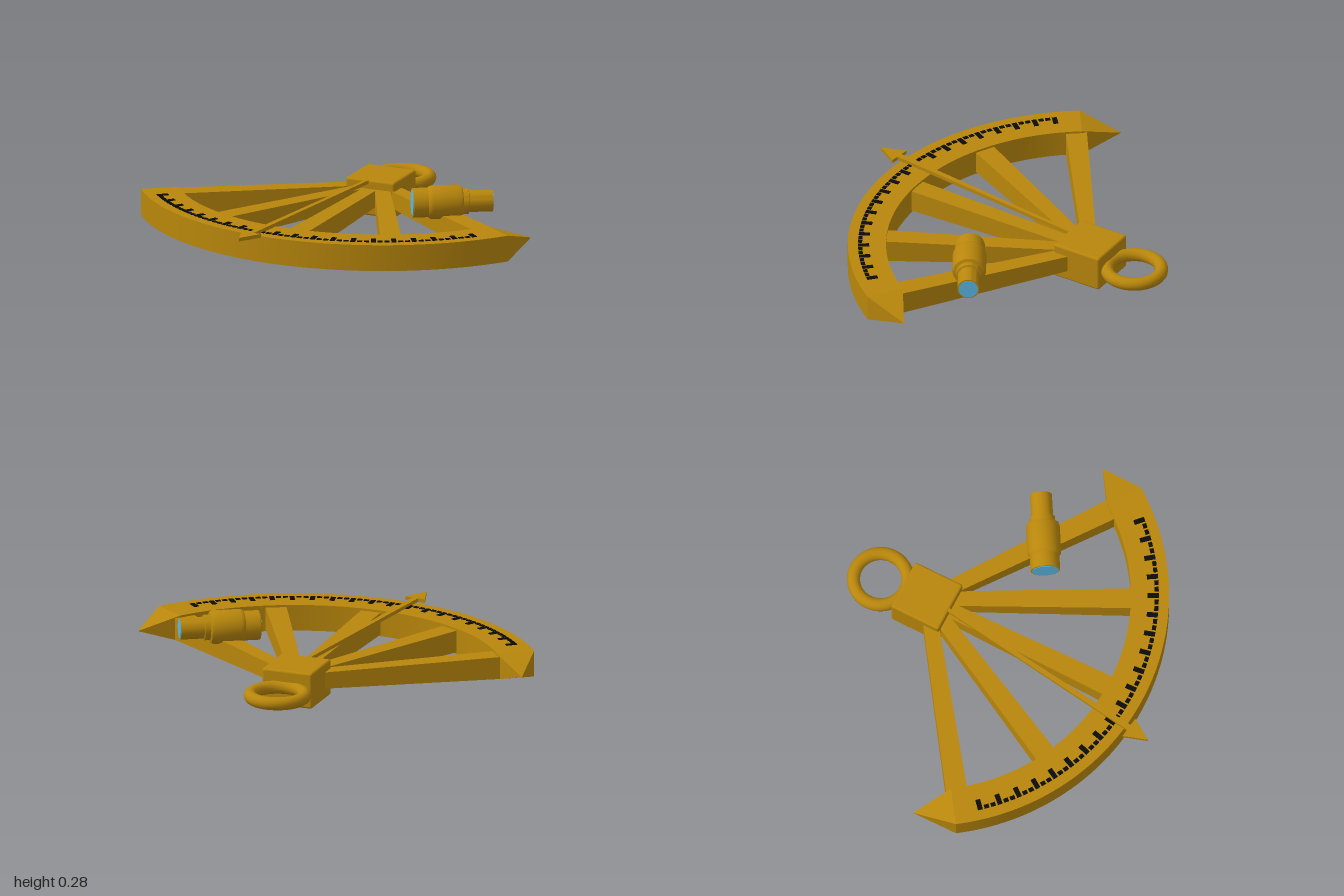
import * as THREE from 'three';
import { toCreasedNormals } from 'three/addons/utils/BufferGeometryUtils.js';
import { RoundedBoxGeometry } from 'three/addons/geometries/RoundedBoxGeometry.js';

const PIVOT_Z = -0.46; // centre of the arc
const rad = THREE.MathUtils.degToRad;

const brass = new THREE.MeshStandardMaterial({ color: 0xb8860b });
const black = new THREE.MeshStandardMaterial({ color: 0x0a0a0a });
const glass = new THREE.MeshStandardMaterial({ color: 0x5bb8e8 });

function addMesh(parent, name, geometry, material = brass) {
  const mesh = new THREE.Mesh(geometry, material);
  mesh.name = name;
  parent.add(mesh);
  return mesh;
}

// Rectangular section swept along the arc, closing to a point at both ends
function arcGeometry(rIn, rOut, y0, y1) {
  const section = [[rIn, y0], [rOut, y0], [rOut, y1], [rIn, y1]];
  const tip = [(rIn + rOut) / 2 + 0.002, (y0 + y1) / 2];
  const place = (a, [r, y]) => [r * Math.sin(a), y, PIVOT_Z + r * Math.cos(a)];
  const steps = 56, end = rad(55);
  const rings = [section.map(() => place(-rad(65.2), tip))];
  for (let i = 0; i <= steps; i++) {
    const a = -end + (2 * end * i) / steps;
    rings.push(section.map((p) => place(a, p)));
  }
  rings.push(section.map(() => place(rad(65.2), tip)));

  const pos = [];
  for (let i = 0; i < rings.length - 1; i++) {
    for (let k = 0; k < 4; k++) {
      const n = (k + 1) % 4;
      const a = rings[i][k], b = rings[i + 1][k], c = rings[i + 1][n], d = rings[i][n];
      if (i < rings.length - 2) pos.push(...a, ...b, ...c);
      if (i > 0) pos.push(...a, ...c, ...d);
      if (i === rings.length - 2) pos.push(...a, ...b, ...d);
    }
  }
  const g = new THREE.BufferGeometry();
  g.setAttribute('position', new THREE.Float32BufferAttribute(pos, 3));
  return toCreasedNormals(g, 0.3);
}

// Bar along z, widening and deepening outwards
function spokeGeometry(length) {
  const g = new THREE.BoxGeometry(1, 1, length).translate(0, 0, length / 2);
  const p = g.attributes.position;
  for (let i = 0; i < p.count; i++) {
    const t = p.getZ(i) / length;
    p.setX(i, p.getX(i) * (0.07 + 0.034 * t));
    p.setY(i, p.getY(i) * (0.078 + 0.034 * t));
  }
  g.computeVertexNormals();
  return g;
}

export function createModel() {
  const model = new THREE.Group();
  model.name = 'sextant';

  addMesh(model, 'arc', arcGeometry(1.005, 1.19, 0.03, 0.16));

  // Hub block and hanging ring
  addMesh(model, 'hub', new RoundedBoxGeometry(0.26, 0.18, 0.26, 2, 0.012)).position.set(0, 0.09, -0.44);
  const ring = addMesh(model, 'ring', new THREE.TorusGeometry(0.132, 0.032, 16, 48));
  ring.rotation.x = Math.PI / 2;
  ring.position.set(0, 0.093, -0.692);

  // Five spokes
  for (let i = -2; i <= 2; i++) {
    const spoke = addMesh(model, 'spoke', spokeGeometry(1.03));
    spoke.position.set(0, 0.094, -0.44);
    spoke.rotation.y = rad(27.2 * i);
  }

  // Scale: long marks with two short ones between
  const scale = new THREE.Group();
  scale.name = 'scaleMarks';
  model.add(scale);
  const marks = 57;
  for (let i = 0; i <= marks; i++) {
    const long = i % 3 === 0;
    const a = rad(-48.6 + (96 * i) / marks);
    const r = long ? 1.113 : 1.13;
    const mark = addMesh(scale, 'mark', new THREE.BoxGeometry(0.024, 0.008, long ? 0.054 : 0.02), black);
    mark.position.set(r * Math.sin(a), 0.159, PIVOT_Z + r * Math.cos(a));
    mark.rotation.y = a;
  }

  // Pointer with arrowhead
  const outline = [[-0.008, 0], [0.008, 0], [0.015, 1.19], [0.054, 1.19], [0, 1.303], [-0.054, 1.19], [-0.015, 1.19]];
  const shape = new THREE.Shape(outline.map(([x, y]) => new THREE.Vector2(x, y)));
  const pointerGeo = new THREE.ExtrudeGeometry(shape, { depth: 0.018, bevelEnabled: false }).rotateX(Math.PI / 2);
  const pointer = addMesh(model, 'pointer', pointerGeo);
  pointer.position.set(0, 0.178, -0.44);
  pointer.rotation.y = rad(-7.4);

  // Telescope: turned body with a lens at each end
  const scope = new THREE.Group();
  scope.name = 'telescope';
  const profile = [
    [0, 0], [0.07, 0], [0.072, 0.003], [0.072, 0.075], [0.08, 0.085], [0.082, 0.095], [0.082, 0.225],
    [0.077, 0.24], [0.062, 0.245], [0.062, 0.272], [0.053, 0.275], [0.053, 0.39], [0, 0.39],
  ].map(([r, y]) => new THREE.Vector2(r, y));
  addMesh(scope, 'telescopeBody', toCreasedNormals(new THREE.LatheGeometry(profile, 40), 0.5));
  for (const [r, y] of [[0.064, 0], [0.047, 0.39]]) {
    addMesh(scope, 'lens', new THREE.CylinderGeometry(r, r, 0.004, 40), glass).position.y = y;
  }
  scope.position.set(0.372, 0.197, 0.013);
  scope.quaternion.setFromUnitVectors(
    new THREE.Vector3(0, 1, 0),
    new THREE.Vector3(0.336, 0, -0.198).normalize(),
  );
  model.add(scope);

  return model;
}
